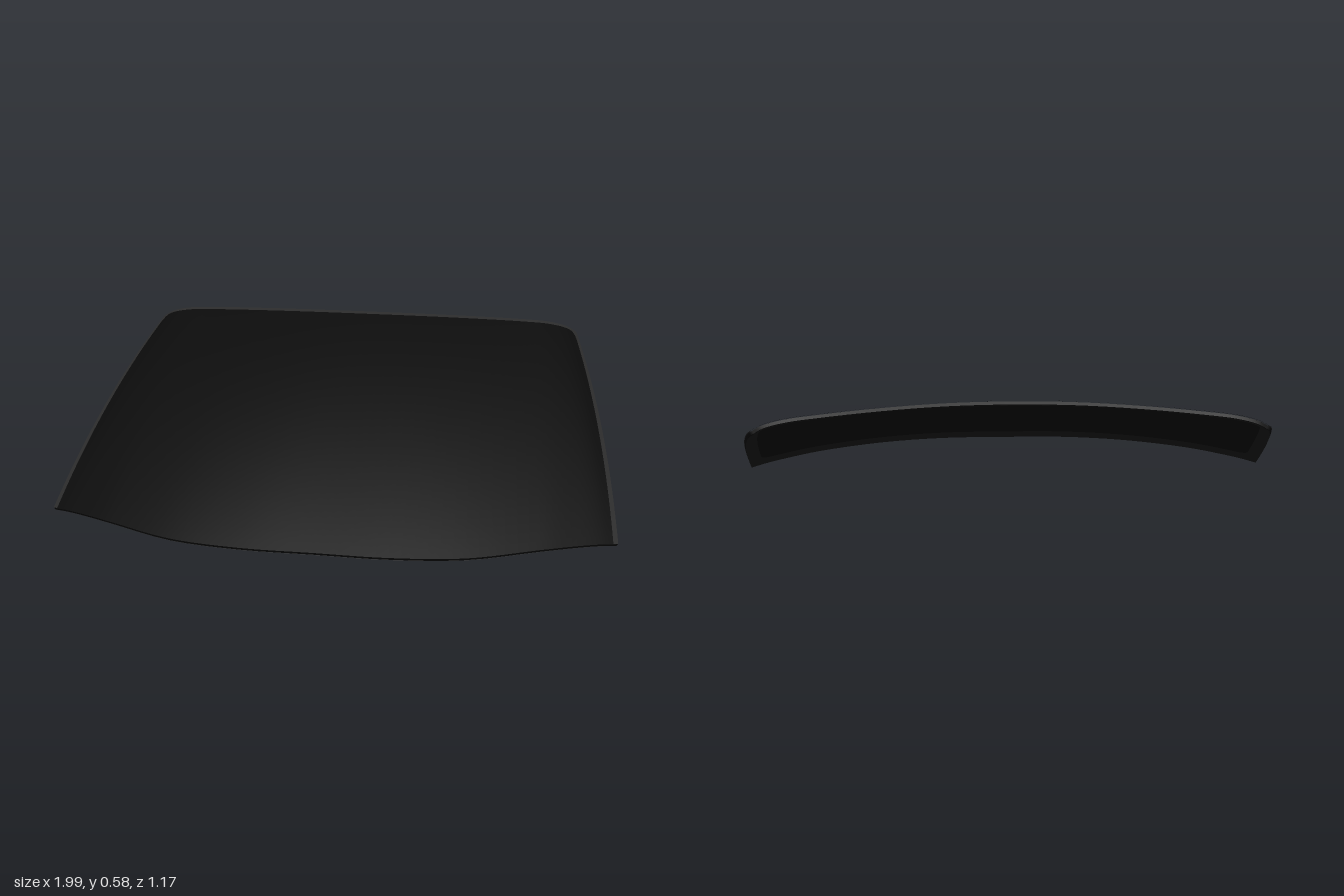
import * as THREE from 'three';

const V = (x, y, z) => new THREE.Vector3(x, y, z);
const clamp = THREE.MathUtils.clamp, lerp = THREE.MathUtils.lerp;

// Right half of an edge, mirrored into a full symmetric curve
function mirrored(half) {
  const right = half.map(p => V(...p));
  const left = half.slice(1).reverse().map(p => V(-p[0], p[1], p[2]));
  return new THREE.CatmullRomCurve3([...left, ...right]);
}
const lowerEdge = mirrored([[0, 0.026, 0.58], [0.25, 0.025, 0.577], [0.5, 0.024, 0.537], [0.74, 0.029, 0.44],
  [0.86, 0.026, 0.381], [0.94, 0.021, 0.341], [0.995, 0.014, 0.313]]);
const upperEdge = mirrored([[0, 0.58, -0.51], [0.21, 0.578, -0.517], [0.42, 0.571, -0.538], [0.62, 0.56, -0.566],
  [0.72, 0.551, -0.58], [0.79, 0.534, -0.587], [0.828, 0.512, -0.588]]);

// Point on the bulged sheet: u -1..1 across, v 0..1 from lower to upper edge
function sheet(u, v) {
  const a = lowerEdge.getPoint((u + 1) / 2), b = upperEdge.getPoint((u + 1) / 2);
  const w = (a.x / 0.995) ** 2, bulge = 4 * v * (1 - v);
  const p = a.clone().lerp(b, v);
  p.y += (0.035 - 0.013 * w) * bulge;
  p.x += 0.018 * Math.sign(u) * w * bulge;
  return p;
}

// Sheet point moved along its normal
function offsetSheet(u, v, d) {
  const e = 0.004;
  const du = sheet(Math.min(u + e, 1), v).sub(sheet(Math.max(u - e, -1), v));
  const dv = sheet(u, Math.min(v + e, 1)).sub(sheet(u, Math.max(v - e, 0)));
  return sheet(u, v).addScaledVector(du.cross(dv).normalize(), d);
}

// Walk round the square -1..1: right side, top, left side, bottom
function perimeter(t) {
  const side = Math.min(Math.floor(t), 3), k = 2 * (t - side) - 1;
  return [[1, k], [-k, 1], [-1, -k], [k, -1]][side];
}

// Inner border line in (u, v), with rounded corners and an optional central tab
function innerLine(t, { side, bottom, top, radius, tab }) {
  const [a, b] = perimeter(t);
  const ca = clamp(a, radius - 1, 1 - radius);
  const cb = clamp(b, bottom > 0 ? radius - 1 : -1, 1 - radius);
  const len = Math.hypot(a - ca, b - cb), k = len > radius ? radius / len : 1;
  const u = (ca + (a - ca) * k) * (1 - side);
  let v = lerp(bottom, 1 - top, (cb + (b - cb) * k + 1) / 2);
  if (b === 1) v -= tab * clamp((0.21 - Math.abs(u)) / 0.07, 0, 1);
  return [u, v];
}

// Mesh over a grid of points fn(s, t), s and t in 0..1
function grid(name, color, ns, nt, fn) {
  const pos = [], index = [];
  for (let j = 0; j <= nt; j++)
    for (let i = 0; i <= ns; i++) pos.push(...fn(i / ns, j / nt).toArray());
  for (let j = 0; j < nt; j++)
    for (let i = 0; i < ns; i++) {
      const a = j * (ns + 1) + i, c = a + ns + 1;
      index.push(a, a + 1, c + 1, a, c + 1, c);
    }
  const geo = new THREE.BufferGeometry();
  geo.setAttribute('position', new THREE.Float32BufferAttribute(pos, 3));
  geo.setIndex(index);
  geo.computeVertexNormals();
  const mesh = new THREE.Mesh(geo, new THREE.MeshStandardMaterial({ color, side: THREE.DoubleSide }));
  mesh.name = name;
  return mesh;
}

// Band between the sheet's outline and an inner line, for part of the perimeter
function band(name, color, turns, d, border) {
  return grid(name, color, turns * 48, 8, (s, r) => {
    const t = s * turns, [a, b] = perimeter(t), [u, v] = innerLine(t, border);
    return offsetSheet(lerp(a, u, r), lerp((b + 1) / 2, v, r), d);
  });
}

export function createModel() {
  const group = new THREE.Group();
  group.name = 'windscreen';
  const thickness = 0.01;

  // Glass: outer face, inner face and the narrow rim between them
  group.add(grid('glassOuterFace', 0x0a0a0a, 72, 32, (s, t) => offsetSheet(2 * s - 1, t, 0)));
  group.add(grid('glassInnerFace', 0x0a0a0a, 72, 32, (s, t) => offsetSheet(1 - 2 * s, t, -thickness)));
  group.add(grid('glassRim', 0x0a0a0a, 192, 1, (s, t) => {
    const [a, b] = perimeter(s * 4);
    return offsetSheet(a, (b + 1) / 2, -thickness * t);
  }));

  // Rubber seal along both sides and the top
  group.add(band('edgeSeal', 0x2a2a2a, 3, 0.003,
    { side: 0.05, bottom: 0, top: 0.014, radius: 0.08, tab: 0 }));

  // Opaque border on the inside, with the mirror mount tab
  group.add(band('innerBorder', 0x1c1c1c, 4, -thickness - 0.002,
    { side: 0.14, bottom: 0.1, top: 0.055, radius: 0.12, tab: 0.07 }));
  return group;
}
